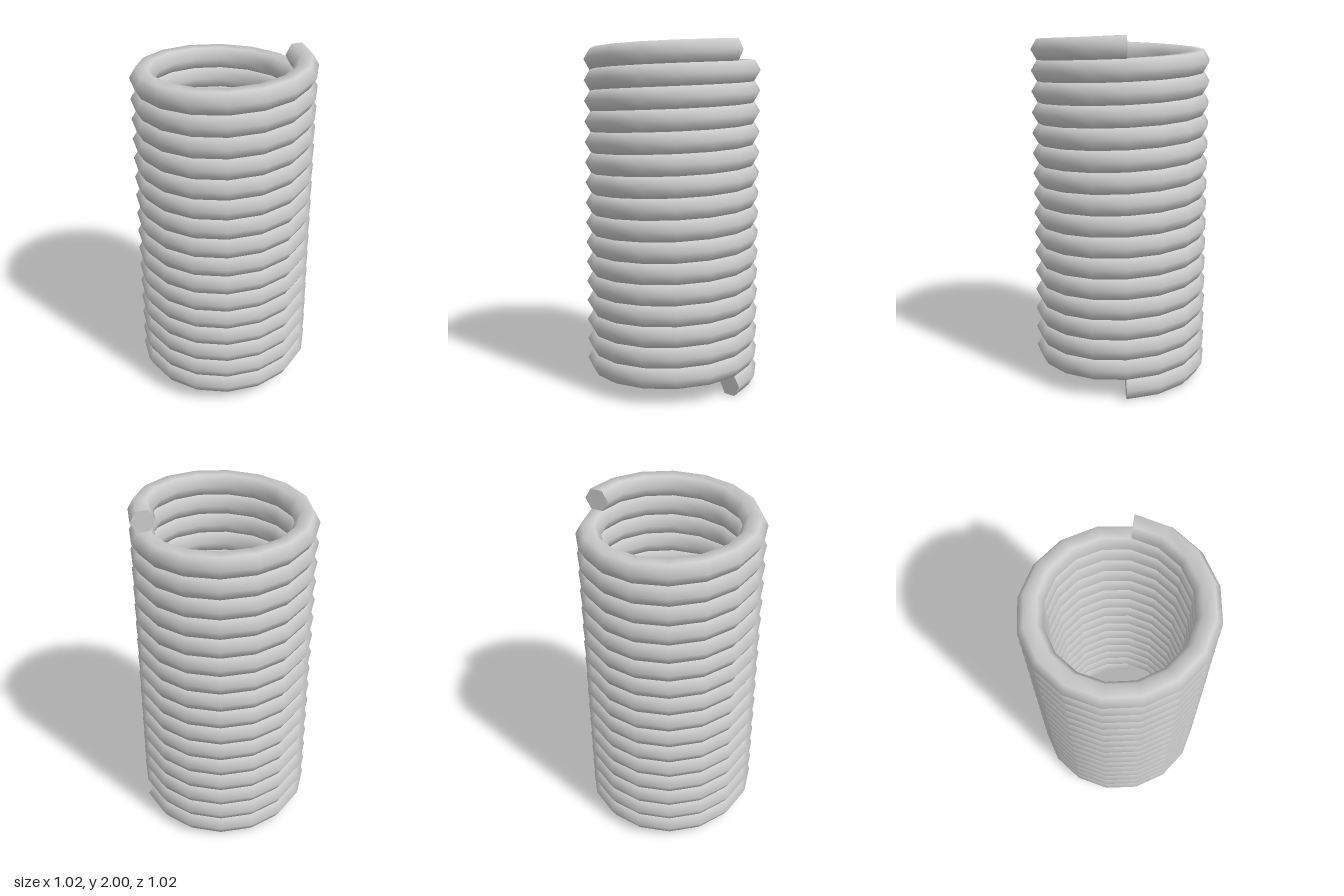
import * as THREE from 'three';

const TURNS = 16, STEPS = 16, SIDES = 6;
const COIL_R = 0.44, WIRE_R = 0.068;
const HALF_H = WIRE_R * Math.sin(Math.PI / 3); // half height of the flat-topped hexagon
const RISE = 2 - 2 * HALF_H;

// Hexagonal wire section swept along a helix, kept upright in the radial plane
function coilGeometry() {
  const pos = [], norm = [], index = [];
  const rings = TURNS * STEPS;
  for (let i = 0; i <= rings; i++) {
    const t = (i / STEPS) * Math.PI * 2;
    const cx = Math.cos(t), cz = -Math.sin(t);
    const y = HALF_H + (RISE * i) / rings;
    for (let j = 0; j < SIDES; j++) {
      const a = (j / SIDES) * Math.PI * 2;
      const c = Math.cos(a), s = Math.sin(a);
      const r = COIL_R + WIRE_R * c;
      pos.push(r * cx, y + WIRE_R * s, r * cz);
      norm.push(c * cx, s, c * cz);
      if (i < rings) {
        const k = (j + 1) % SIDES;
        const p = i * SIDES + j, q = i * SIDES + k;
        index.push(p, p + SIDES, q, q, p + SIDES, q + SIDES);
      }
    }
  }
  const g = new THREE.BufferGeometry();
  g.setAttribute('position', new THREE.Float32BufferAttribute(pos, 3));
  g.setAttribute('normal', new THREE.Float32BufferAttribute(norm, 3));
  g.setIndex(index);
  return g;
}

export function createModel() {
  const group = new THREE.Group();
  group.name = 'coilSpring';
  const material = new THREE.MeshStandardMaterial({ color: 0xcccccc });

  const coil = new THREE.Mesh(coilGeometry(), material);
  coil.name = 'coil';
  group.add(coil);

  // Flat cut ends of the wire
  const capGeometry = new THREE.CircleGeometry(WIRE_R, SIDES);
  const addCap = (name, y, turn) => {
    const cap = new THREE.Mesh(capGeometry, material);
    cap.name = name;
    cap.position.set(COIL_R, y, 0);
    cap.rotation.y = turn;
    group.add(cap);
  };
  addCap('bottomWireEnd', HALF_H, 0);
  addCap('topWireEnd', HALF_H + RISE, Math.PI);

  return group;
}
